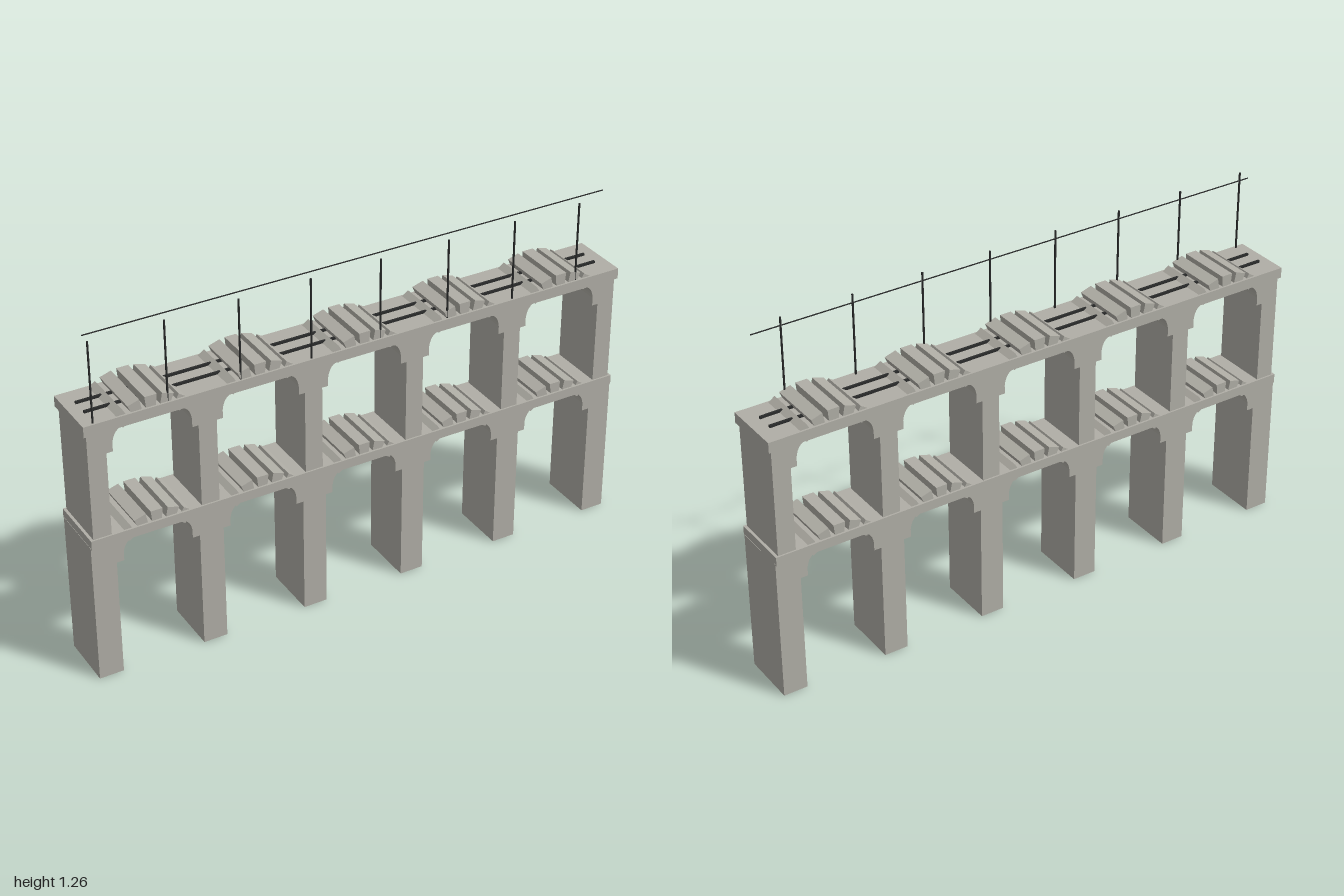
import * as THREE from 'three';

const SPAN = 0.382; // distance between pier centres
const stone = new THREE.MeshStandardMaterial({ name: 'stone', color: 0xb0aea6, flatShading: true });
const metal = new THREE.MeshStandardMaterial({ name: 'darkMetal', color: 0x2a2b2b, flatShading: true });

function add(parent, name, geometry, material, x = 0, y = 0, z = 0) {
  const mesh = new THREE.Mesh(geometry, material);
  mesh.name = name;
  mesh.position.set(x, y, z);
  parent.add(mesh);
}

// extrude an xy outline symmetrically along z
function slab(shape, depth) {
  return new THREE.ExtrudeGeometry(shape, { depth, bevelEnabled: false, curveSegments: 8 })
    .translate(0, 0, -depth / 2);
}

// pier with stepped, curved haunches on its chosen sides
function pierGeometry(t, left, right) {
  const s = new THREE.Shape();
  s.moveTo(-t.half, t.base);
  s.lineTo(t.half, t.base);
  if (right) {
    s.lineTo(t.half, t.step);
    s.lineTo(t.corbel, t.step);
    s.lineTo(t.corbel, t.spring);
    s.quadraticCurveTo(t.corbel + 0.006, t.under, t.reach, t.under);
    s.lineTo(t.reach, t.under + 0.004);
  } else {
    s.lineTo(t.half, t.under + 0.004);
  }
  if (left) {
    s.lineTo(-t.reach, t.under + 0.004);
    s.lineTo(-t.reach, t.under);
    s.quadraticCurveTo(-t.corbel - 0.006, t.under, -t.corbel, t.spring);
    s.lineTo(-t.corbel, t.step);
    s.lineTo(-t.half, t.step);
  } else {
    s.lineTo(-t.half, t.under + 0.004);
  }
  s.closePath();
  return slab(s, 0.202);
}

// wedge-shaped arch stone, drawn upright with its top at y = 0
function voussoirGeometry() {
  const s = new THREE.Shape();
  s.moveTo(-0.016, -0.05);
  s.lineTo(0.016, -0.05);
  s.lineTo(0.021, 0);
  s.lineTo(-0.021, 0);
  s.closePath();
  return slab(s, 0.2);
}

function buildTier(name, t) {
  const tier = new THREE.Group();
  tier.name = name;
  for (let i = 0; i < 6; i++) {
    add(tier, 'pier', pierGeometry(t, i > 0, i < 5), stone, (i - 2.5) * SPAN);
  }
  add(tier, 'deck', new THREE.BoxGeometry(1.994, t.top - t.under, 0.214), stone, 0, (t.top + t.under) / 2);

  // five radial stones crown each arch
  const wedge = voussoirGeometry();
  const R = 0.2;
  for (let i = 0; i < 5; i++) {
    const arch = new THREE.Group();
    arch.name = 'archStones';
    arch.position.set((i - 2) * SPAN, t.crown - R, 0);
    for (let k = -2; k <= 2; k++) {
      const a = k * 0.3;
      add(arch, 'archStone', wedge, stone, R * Math.sin(a), R * Math.cos(a));
      arch.children[arch.children.length - 1].rotation.z = -a;
    }
    tier.add(arch);
  }
  return tier;
}

export function createModel() {
  const model = new THREE.Group();
  model.name = 'viaduct';

  model.add(buildTier('lowerTier', {
    half: 0.043, base: 0, step: 0.433, corbel: 0.069, spring: 0.462,
    reach: 0.12, under: 0.513, top: 0.547, crown: 0.584,
  }));
  model.add(buildTier('upperTier', {
    half: 0.032, base: 0.545, step: 0.85, corbel: 0.054, spring: 0.88,
    reach: 0.1, under: 0.932, top: 0.97, crown: 1.009,
  }));

  // railway track
  for (const z of [-0.031, 0.031]) {
    add(model, 'rail', new THREE.BoxGeometry(1.91, 0.01, 0.008), metal, -0.004, 0.973, z);
  }

  // overhead line and its masts
  for (let i = 0; i < 8; i++) {
    add(model, 'mast', new THREE.CylinderGeometry(0.0035, 0.0035, 0.29, 8), metal, -0.96 + i * 0.255, 1.112, 0.097);
  }
  add(model, 'overheadWire', new THREE.BoxGeometry(1.91, 0.003, 0.003), metal, -0.004, 1.255, 0.053);

  return model;
}
